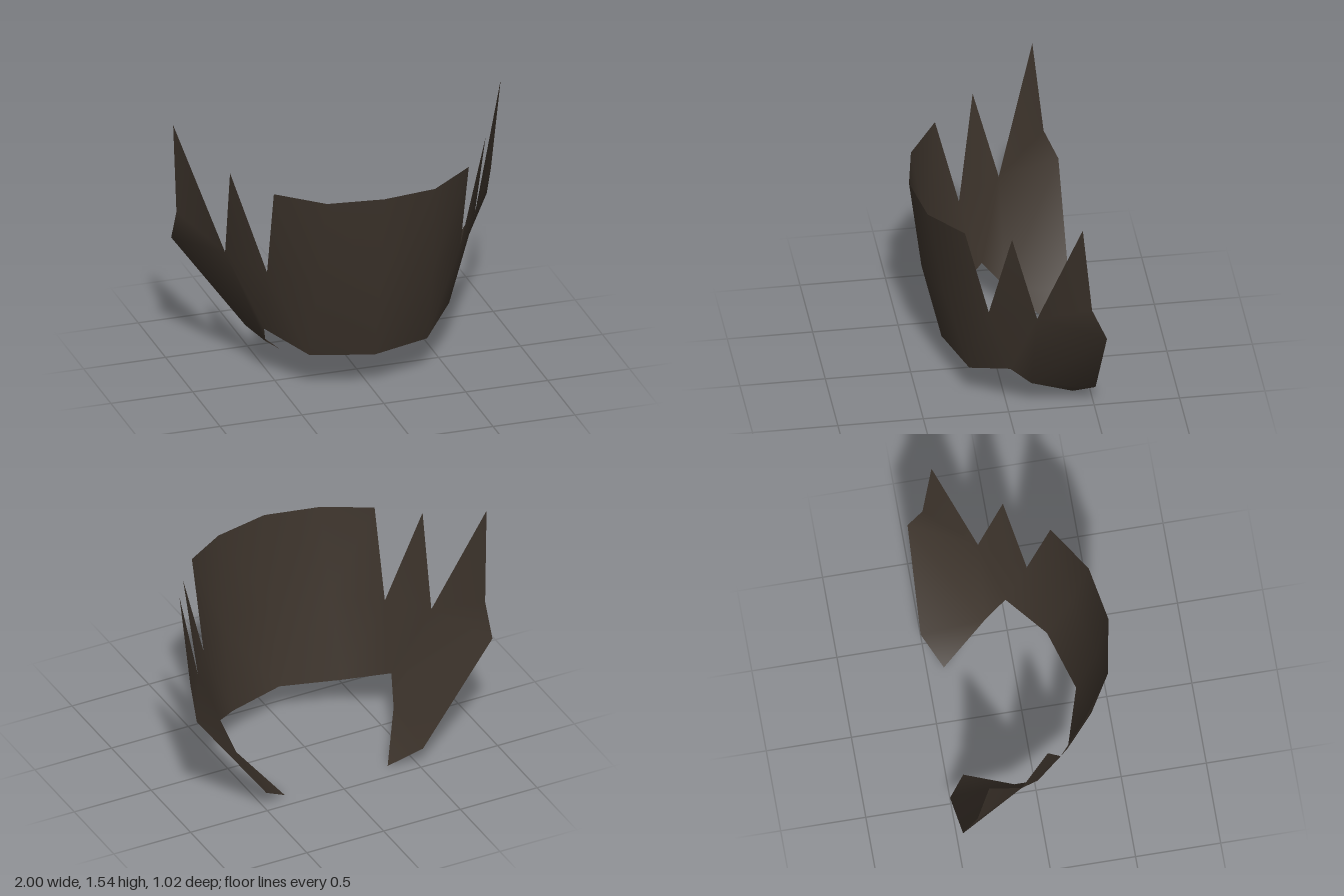
import * as THREE from 'three';
import { mergeVertices } from 'three/addons/utils/BufferGeometryUtils.js';

// Named corners of the left half (+x) of the sheet
const corners = {
  // front panel: bottom, middle and top of three columns
  b0: [0, 0.232, 0.32], m0: [0, 0.73, 0.437], t0: [0, 1.308, 0.51],
  b1: [0.36, 0.235, 0.21], m1: [0.35, 0.74, 0.35], t1: [0.33, 1.3, 0.45],
  b2: [0.565, 0.34, 0], m2: [0.59, 0.76, 0.13], t2: [0.595, 1.322, 0.27],
  // side wing: lower edge, small spike, notch, tall spike and rear edge
  b3: [0.513, 0.195, -0.13], spike: [0.78, 1.375, 0.022], notch: [0.76, 0.8, -0.128],
  toe: [0.335, 0, -0.4], heel: [0.51, 0.13, -0.507],
  rear: [0.963, 0.757, -0.507], shoulder: [0.96, 0.96, -0.42], tall: [1, 1.545, -0.36],
};

// Faces, corners anticlockwise from outside, each fanned from its first corner
const faces = [
  'b0 b1 m1 m0', 'm0 m1 t1 t0',
  'b1 b2 m2 m1', 'm1 m2 t2 t1',
  'b2 b3 notch m2', 'm2 notch spike',
  'b3 heel rear notch', 'b3 toe heel',
  'notch rear shoulder', 'notch shoulder tall',
];

function sheetGeometry() {
  const pos = [];
  for (const face of faces) {
    const p = face.split(' ').map((n) => corners[n]);
    for (let i = 1; i < p.length - 1; i++) {
      const tri = [p[0], p[i], p[i + 1]];
      for (const [x, y, z] of tri) pos.push(x, y, z);
      // mirrored half, with the corner order turned round
      for (const [x, y, z] of tri.reverse()) pos.push(-x || 0, y, z);
    }
  }
  const geo = new THREE.BufferGeometry();
  geo.setAttribute('position', new THREE.Float32BufferAttribute(pos, 3));
  const welded = mergeVertices(geo);
  welded.computeVertexNormals();
  return welded;
}

export function createModel() {
  const group = new THREE.Group();
  group.name = 'spikedCollar';
  const darkBrown = new THREE.MeshStandardMaterial({ color: 0x3c332b, side: THREE.DoubleSide });
  darkBrown.name = 'darkBrown';
  const sheet = new THREE.Mesh(sheetGeometry(), darkBrown);
  sheet.name = 'collarSheet';
  group.add(sheet);
  return group;
}
